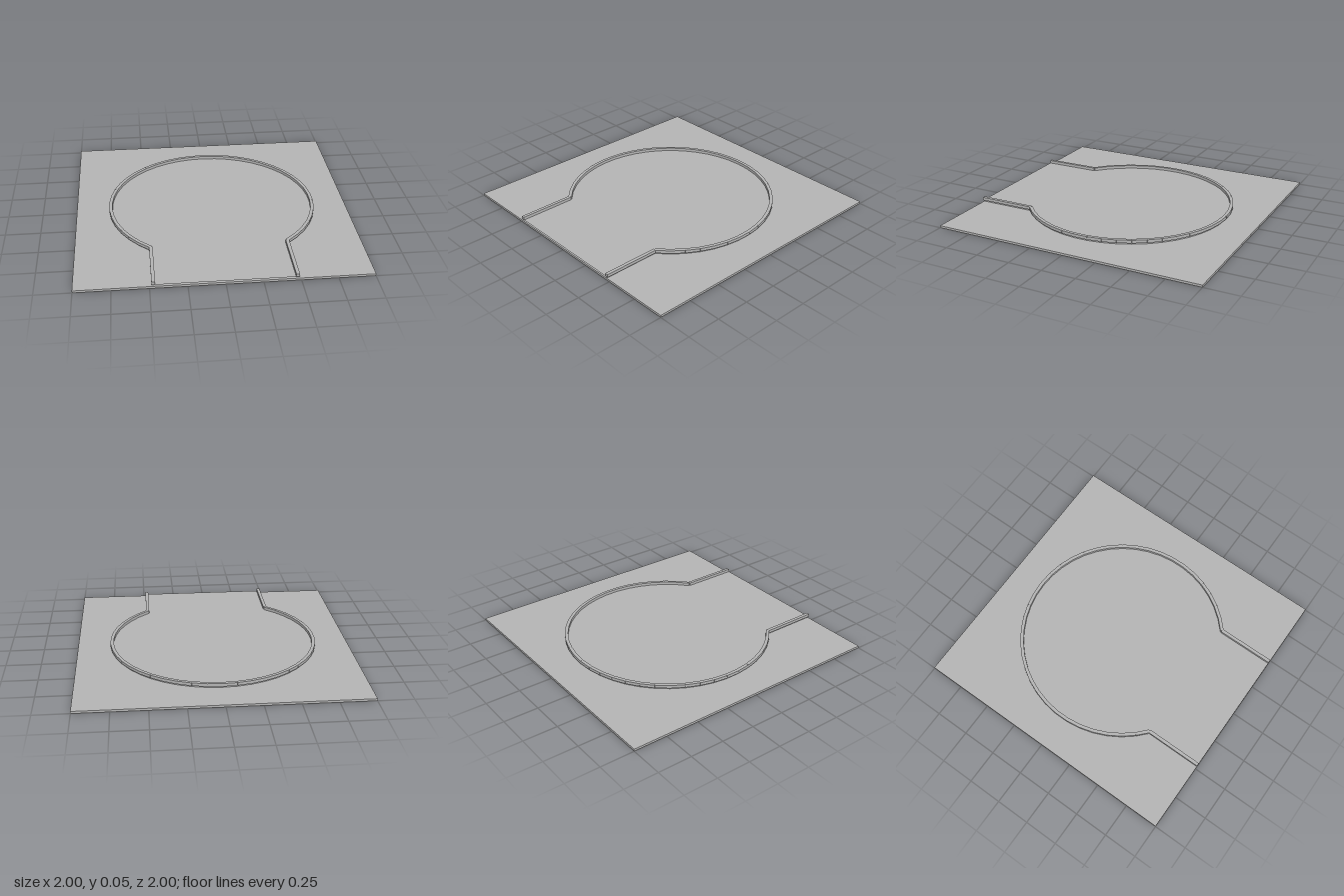
import * as THREE from 'three';

export function createModel() {
  const model = new THREE.Group();
  const grey = new THREE.MeshStandardMaterial({ color: 0xb4b4b4 });

  const slabTop = 0.016, floorY = 0.028, railTop = 0.05;
  const railWidth = 0.024, radius = 0.75, half = 18;
  const step = THREE.MathUtils.degToRad(140.7) / half;

  function add(geometry, name) {
    const mesh = new THREE.Mesh(geometry, grey);
    mesh.name = name;
    model.add(mesh);
    return mesh;
  }

  // Square ground slab
  add(new THREE.BoxGeometry(2, slabTop, 2), 'groundSlab').position.y = slabTop / 2;

  // Keyhole outline as (x, z): left straight, ring of short chords, right straight
  const path = [];
  for (let i = half; i >= -half; i--) {
    path.push(new THREE.Vector2(Math.sin(i * step) * radius, -Math.cos(i * step) * radius));
  }
  path.unshift(new THREE.Vector2(path[0].x, 1));
  path.push(new THREE.Vector2(path[path.length - 1].x, 1));

  // Raised floor inside the outline
  const floor = new THREE.ShapeGeometry(new THREE.Shape(path.map(p => new THREE.Vector2(p.x, -p.y))));
  floor.rotateX(-Math.PI / 2);
  add(floor, 'raisedFloor').position.y = floorY;

  // Outer wall under the rail, open at the front
  const wall = [];
  for (let i = 0; i < path.length - 1; i++) {
    const a = path[i], b = path[i + 1];
    const a0 = [a.x, slabTop, a.y], a1 = [a.x, floorY, a.y];
    const b0 = [b.x, slabTop, b.y], b1 = [b.x, floorY, b.y];
    wall.push(...a0, ...b0, ...b1, ...a0, ...b1, ...a1);
  }
  const wallGeometry = new THREE.BufferGeometry();
  wallGeometry.setAttribute('position', new THREE.Float32BufferAttribute(wall, 3));
  wallGeometry.computeVertexNormals();
  add(wallGeometry, 'floorWall');

  // Kerb rail: one straight bar for each stretch of the outline
  for (let i = 0; i < path.length - 1; i++) {
    const a = path[i], b = path[i + 1];
    const bar = add(new THREE.BoxGeometry(railWidth, railTop - floorY, a.distanceTo(b)), 'railSegment');
    bar.position.set((a.x + b.x) / 2, (floorY + railTop) / 2, (a.y + b.y) / 2);
    bar.rotation.y = Math.atan2(b.x - a.x, b.y - a.y);
  }

  return model;
}
